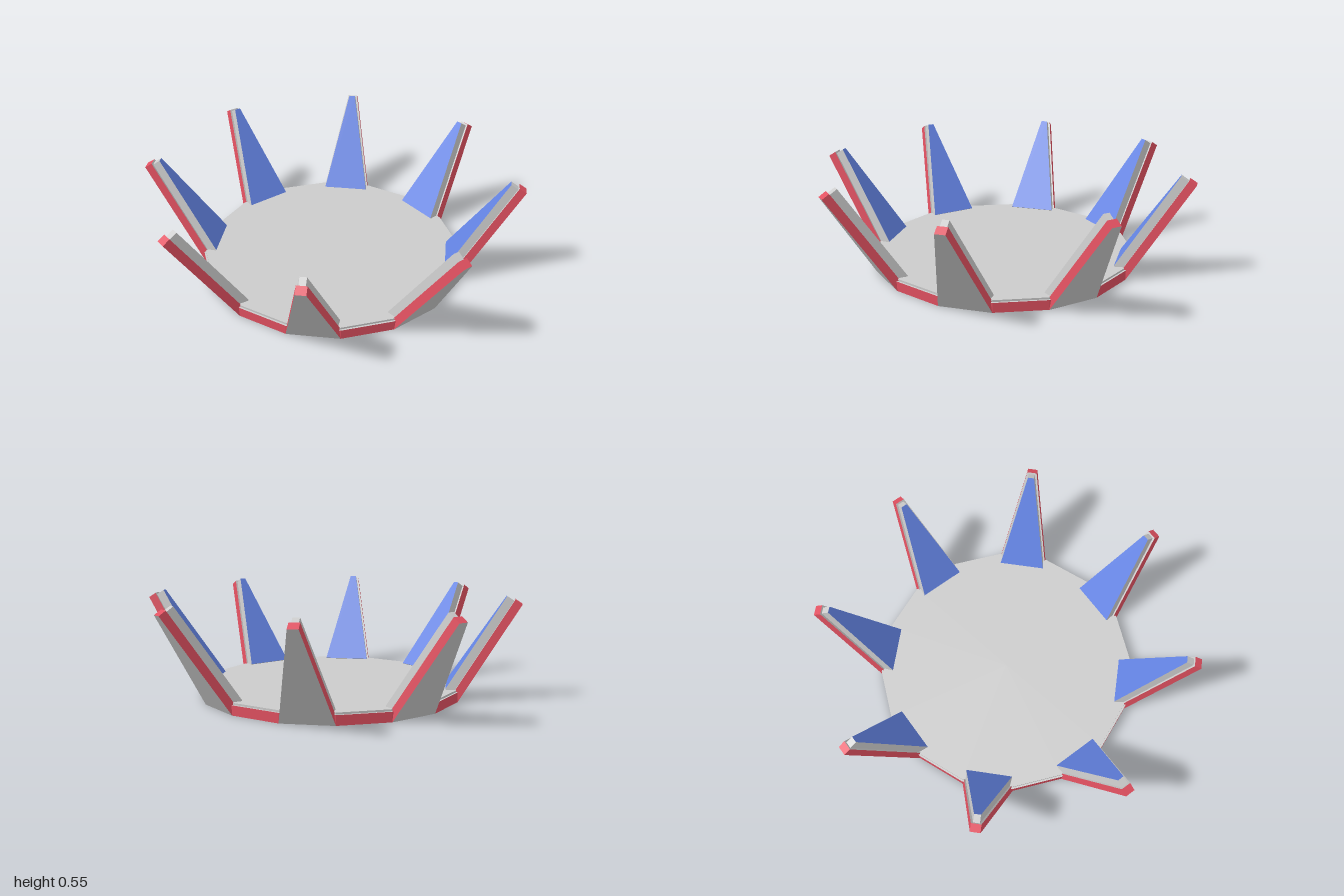
import * as THREE from 'three';

const grey = new THREE.MeshStandardMaterial({ color: 0xcccccc });
const red = new THREE.MeshStandardMaterial({ color: 0xe05060 });
const blue = new THREE.MeshStandardMaterial({ color: 0x6484e4 });

const APOTHEM = 0.695; // centre to the middle of a rim edge
const LEAN = { out: 0.535, up: 0.845 }; // direction a spike rises in

// Tapered slab leaning outward: s runs up the spike, t inward from its outer face.
function leaningSlab(s0, s1, t0, t1, halfBase, halfTip) {
  const geometry = new THREE.BoxGeometry(2, 1, 1);
  const p = geometry.attributes.position;
  for (let i = 0; i < p.count; i++) {
    const top = p.getY(i) > 0;
    const s = top ? s1 : s0;
    const t = p.getZ(i) > 0 ? t0 : t1;
    p.setXYZ(i,
      p.getX(i) * (top ? halfTip : halfBase),
      LEAN.up * s + LEAN.out * t,
      APOTHEM + LEAN.out * s - LEAN.up * t);
  }
  geometry.computeVertexNormals();
  return geometry;
}

function addMesh(parent, name, geometry, materials) {
  const mesh = new THREE.Mesh(geometry, materials);
  mesh.name = name;
  parent.add(mesh);
  return mesh;
}

// Sixteen-sided slab, its corners in line with the axes.
function disc(radius, height) {
  const geometry = new THREE.CylinderGeometry(radius, radius, height, 16).toNonIndexed();
  geometry.computeVertexNormals();
  return geometry;
}

export function createModel() {
  const model = new THREE.Group();
  model.name = 'spikedDish';

  // Floor: red-edged slab with a thin grey layer on top
  addMesh(model, 'floor', disc(0.708, 0.052), [red, grey, grey]).position.y = 0.026;
  addMesh(model, 'floorTop', disc(0.698, 0.012), [grey, grey, grey]).position.y = 0.056;

  // Eight spikes, one on every second rim edge
  const plate = leaningSlab(0, 0.6, 0, 0.045, 0.138, 0.026);
  const lining = leaningSlab(0.02, 0.59, 0.045, 0.09, 0.126, 0.017);
  for (let i = 0; i < 8; i++) {
    const spike = new THREE.Group();
    spike.name = 'spike';
    // Outer plate with red edges, inner lining with a blue face
    addMesh(spike, 'spikePlate', plate, [red, red, red, red, grey, grey]);
    addMesh(spike, 'spikeLining', lining, [grey, grey, grey, grey, grey, blue]);
    spike.rotation.y = (i / 8) * Math.PI * 2 - Math.PI / 16;
    model.add(spike);
  }
  return model;
}
